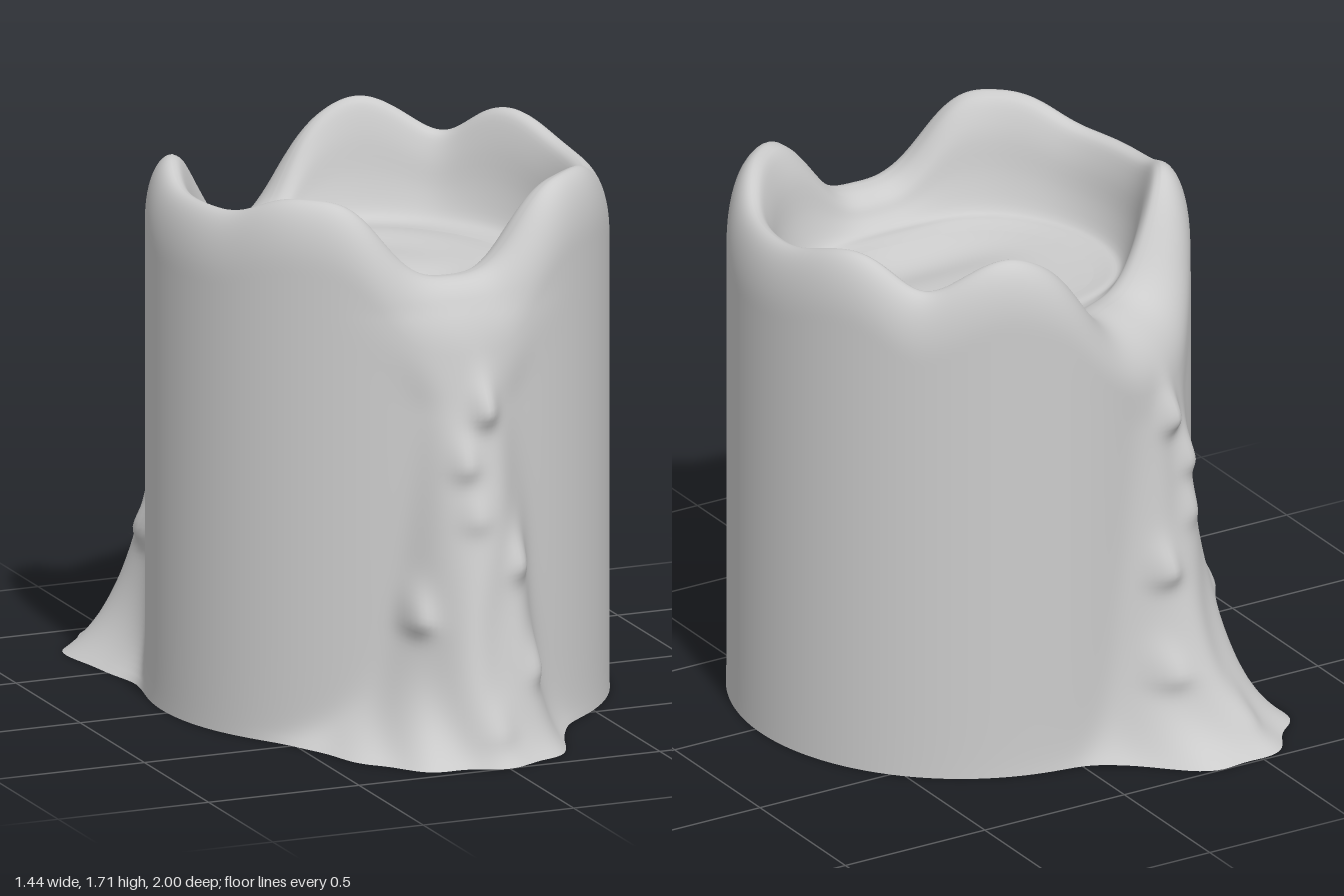
import * as THREE from 'three';

const SEG = 320, RADIUS = 0.71, CENTRE_Z = -0.03, FLOOR = 1.34, SHOULDER = 0.2;
const { sin, cos, exp, abs, max, PI } = Math;
const { smoothstep, degToRad } = THREE.MathUtils;

const angleGap = (a, b) => ((a - b + 540) % 360) - 180;
const hump = (d, width, power = 2) => exp(-Math.pow(abs(d / width), power));

// Rim crests and dips: angle from the front towards +x, height, half-width in degrees, flatness
const rimWaves = [
  [0, -0.18, 23, 3], [41, 0.077, 21, 3], [118, 0.07, 17, 2], [138, -0.05, 10, 2],
  [162, 0.07, 13, 2], [208, -0.25, 25, 3.5], [248, 0.06, 12, 2], [319, 0.077, 19, 3],
];
const rimHeight = (deg) =>
  rimWaves.reduce((h, [a, rise, w, flat]) => h + rise * hump(angleGap(deg, a), w, flat), 1.63);

// How far the crest leans in, and the inner lip; both reach inwards at the two spills
const crestInset = (deg) => 0.075 + 0.035 * hump(angleGap(deg, 0), 25) + 0.1 * hump(angleGap(deg, 208), 24);
const lipRadius = (deg) => 0.58 - 0.08 * hump(angleGap(deg, 0), 40) - 0.12 * hump(angleGap(deg, 208), 26);

// Two wax runs: body thickness, extra thickness at the foot and its fade height, foot half-widths
const runs = [
  { angle: 0, body: 0.27, foot: 0.025, fade: 0.1, low: 29, high: 19, turn: 1 },
  { angle: 211, body: 0.15, foot: 0.21, fade: 0.25, low: 18, high: 22, turn: -1 },
];

// Half-width narrows up from the foot, then opens into a funnel under the rim
const runWidth = (foot, y) =>
  9.5 + 4 * max(0, 1.1 - y) + (foot - 14) * exp(-y / 0.12) + 10 * smoothstep(y, 1.05, 1.45);

// Outside radius of the wall with its runs, ridges and drips
function wallRadius(deg, y) {
  let r = RADIUS;
  for (const run of runs) {
    const d = angleGap(deg, run.angle);
    const u = abs(d) / runWidth(d < 0 ? run.low : run.high, y);
    const depth = max(-0.015, run.body * (1 - y / 1.3) + run.foot * exp(-y / run.fade));
    const ridges = 1 + 0.05 * cos(d * 0.45 + 2 * sin(y * 5));
    r += depth * ridges * exp(-0.75 * Math.pow(u, 3));
    // thin skirt where the wax spreads at the foot
    r += 0.015 * hump(d, 42) * exp(-y / 0.05);
    // rounded drips winding down the run
    for (let i = 0; i < 7; i++) {
      const h = 0.1 + 0.16 * i;
      const across = run.turn * sin(i * 2.4) * (1.2 - h) * 18;
      const dx = degToRad(d - across) * 0.8, dy = (y - h) * (y > h ? 0.5 : 1);
      r += (0.015 + 0.03 * abs(sin(i * 2.4))) * hump(Math.hypot(dx, dy), 0.045);
    }
  }
  return r;
}

// Gently rippled pool surface with a shallow hollow
function poolHeight(r, deg) {
  const x = r * sin(degToRad(deg)), z = r * cos(degToRad(deg));
  return FLOOR - 0.03 * hump(Math.hypot(x, 2 * (z - 0.2)), 0.25) + 0.006 * sin(r * 20 + x * 4) * Math.min(1, r * 3);
}

// Profile from the foot, over the rim and down to the pool edge
function bodyProfile(deg) {
  const h = rimHeight(deg), lip = lipRadius(deg), drop = h - FLOOR, inset = crestInset(deg), pts = [];
  for (let i = 0; i < 70; i++) {
    const y = (h - SHOULDER) * i / 70;
    pts.push(new THREE.Vector2(wallRadius(deg, y), y));
  }
  for (let i = 0; i <= 12; i++) {
    const a = (i / 12) * PI / 2, y = h - SHOULDER * (1 - sin(a));
    pts.push(new THREE.Vector2(wallRadius(deg, y) - inset * (1 - cos(a)), y));
  }
  const top = pts[pts.length - 1];
  const inner = new THREE.SplineCurve([
    top,
    new THREE.Vector2((top.x + lip) / 2, h - 0.06 * drop),
    new THREE.Vector2(lip, h - 0.3 * drop),
    new THREE.Vector2(lip - 0.025, h - 0.65 * drop),
    new THREE.Vector2(lip - 0.06, FLOOR + 0.08 * drop),
    new THREE.Vector2(lip - 0.1, poolHeight(lip - 0.1, deg) + 0.02 * drop),
    new THREE.Vector2(lip - 0.15, poolHeight(lip - 0.15, deg)),
  ]);
  return pts.concat(inner.getPoints(24).slice(1));
}

// Profile from the pool edge to its middle
function poolProfile(deg) {
  const edge = lipRadius(deg) - 0.15;
  return Array.from({ length: 17 }, (_, i) => {
    const r = edge * (1 - i / 16);
    return new THREE.Vector2(r, poolHeight(r, deg));
  });
}

// Joins the profiles around the candle into a closed smooth skin
function skin(name, profile, material) {
  const pos = [], index = [];
  const rows = profile(0).length;
  for (let s = 0; s < SEG; s++) {
    const deg = 360 * s / SEG, a = s * rows, b = ((s + 1) % SEG) * rows;
    profile(deg).forEach((p, i) => {
      pos.push(p.x * sin(degToRad(deg)), p.y, p.x * cos(degToRad(deg)) + CENTRE_Z);
      if (i < rows - 1) index.push(a + i, b + i, b + i + 1, a + i, b + i + 1, a + i + 1);
    });
  }
  const geo = new THREE.BufferGeometry();
  geo.setAttribute('position', new THREE.Float32BufferAttribute(pos, 3));
  geo.setIndex(index);
  geo.computeVertexNormals();
  const mesh = new THREE.Mesh(geo, material);
  mesh.name = name;
  return mesh;
}

export function createModel() {
  const group = new THREE.Group();
  group.name = 'meltedCandle';
  const wax = new THREE.MeshStandardMaterial({ color: 0xcccccc, side: THREE.DoubleSide });
  group.add(skin('waxBody', bodyProfile, wax));
  group.add(skin('meltedPool', poolProfile, wax));
  return group;
}
